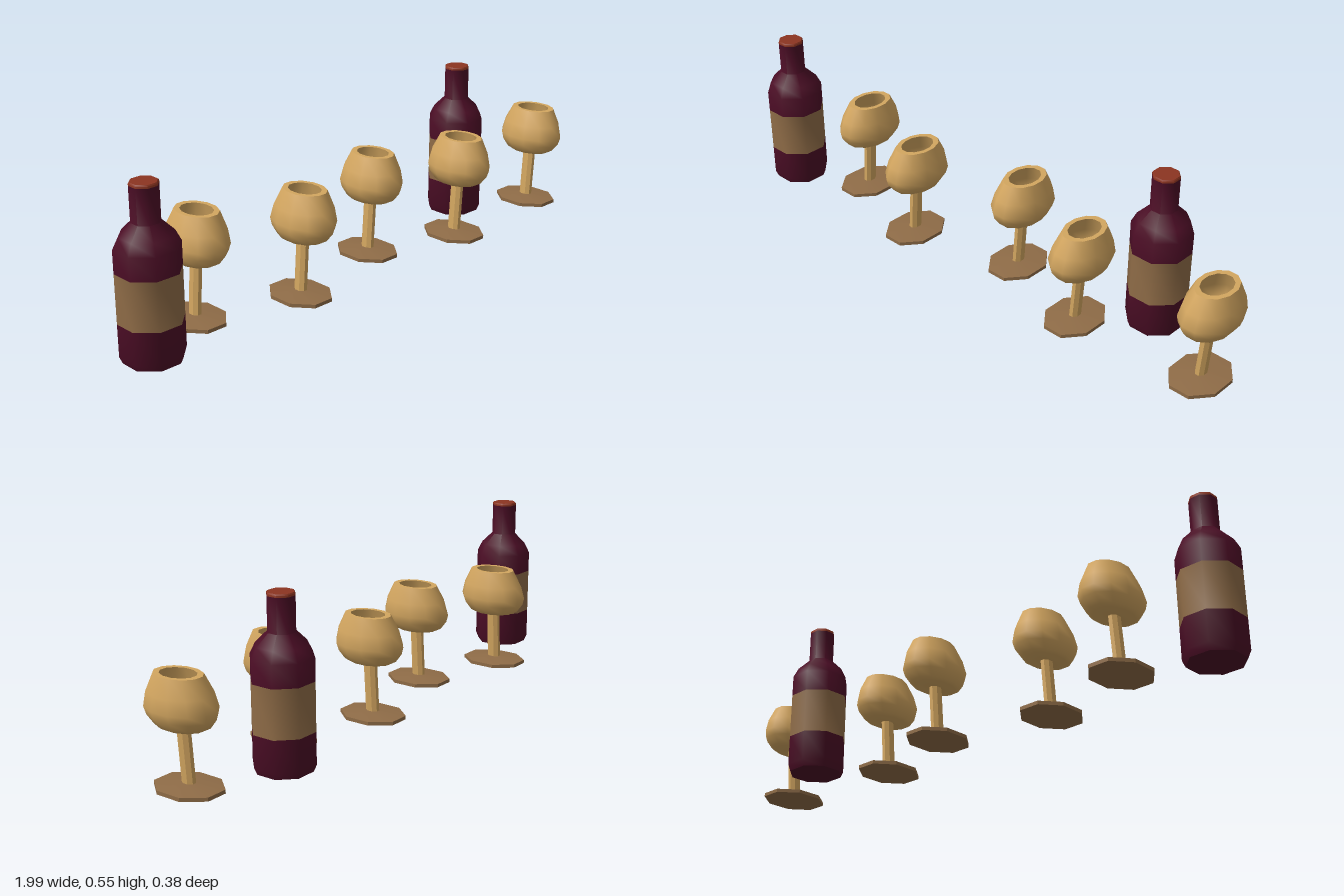
import * as THREE from 'three';
import { toCreasedNormals } from 'three/addons/utils/BufferGeometryUtils.js';

const mat = (name, color) => {
  const m = new THREE.MeshStandardMaterial({ color });
  m.name = name;
  return m;
};

export function createModel() {
  const root = new THREE.Group();
  root.name = 'bottlesAndGoblets';

  const wine = mat('darkWineGlass', 0x4b0d25);
  const brown = mat('brown', 0x8f6c47);
  const tan = mat('tan', 0xd3a660);
  const rust = mat('rustCap', 0x8c3521);

  // Turned part: smooth around, sharp at strong profile corners.
  // Profiles are in hundredths, so nearby vertices stay distinct when creasing.
  const turned = (profile, sides, crease = 0.9) => {
    const pts = profile.map(([r, y]) => new THREE.Vector2(r, y));
    const raw = new THREE.LatheGeometry(pts.map(p => p.multiplyScalar(100)), sides, Math.PI / sides);
    raw.deleteAttribute('uv');
    return toCreasedNormals(raw, crease).scale(1e-4, 1e-4, 1e-4);
  };
  const part = (group, name, geometry, material) => {
    const mesh = new THREE.Mesh(geometry, material);
    mesh.name = name;
    group.add(mesh);
  };

  // Eight-sided bottle, split into bands by colour
  const R = 9.95, N = 4.4;
  const bottleParts = [
    ['lowerBody', wine, [[0, 0.3], [9, 0.3], [R, 2.5], [R, 12.8]]],
    ['label', brown, [[R, 12.8], [R, 28.3]]],
    ['shoulderAndNeck', wine, [[R, 28.3], [R, 35.5], [8.2, 39], [N, 42.8], [N, 53.7]]],
    ['cap', rust, [[N, 53.7], [N, 54.3], [4.1, 54.7], [0, 54.7]]],
  ].map(([name, m, profile]) => [name, turned(profile, 8), m]);

  // Goblet: oval in plan, leaning slightly toward +x
  const lean = new THREE.Matrix4().set(
    1, 0.07, 0, 0,
    0, 1, 0, 0,
    0, 0, 1.37, 0,
    0, 0, 0, 1);
  const footShape = new THREE.Matrix4().makeScale(1, 1, 1.25);
  const gobletParts = [
    ['foot', brown, footShape, 8, 0.5,
      [[0, 0], [9.3, 0], [9.3, 1.2], [2, 2.1], [0, 2.1]]],
    ['stem', tan, lean, 8, 0.5, [[1.75, 1.5], [1.75, 20.2]]],
    ['bowl', tan, lean, 12, 0.9,
      [[0, 19.3], [5.6, 19.4], [6.8, 20.2], [8.4, 23], [8.95, 25.5], [8.1, 30], [6, 35.5],
        [4.5, 35.5], [6.3, 30], [7, 25.5], [5.8, 22.3], [0, 21.2]]],
  ].map(([name, m, warp, sides, crease, profile]) =>
    [name, turned(profile, sides, crease).applyMatrix4(warp), m]);

  const place = (name, parts, x, z) => {
    const g = new THREE.Group();
    g.name = name;
    g.position.set(x, 0, z);
    for (const [n, geo, m] of parts) part(g, n, geo, m);
    root.add(g);
  };

  for (const [x, z] of [[-0.908, 0.093], [0.618, -0.1]]) place('bottle', bottleParts, x, z);
  for (const [x, z] of [[-0.661, -0.029], [-0.312, 0.069], [0.09, -0.029], [0.427, 0.069], [0.888, 0.026]]) {
    place('goblet', gobletParts, x, z);
  }
  return root;
}
